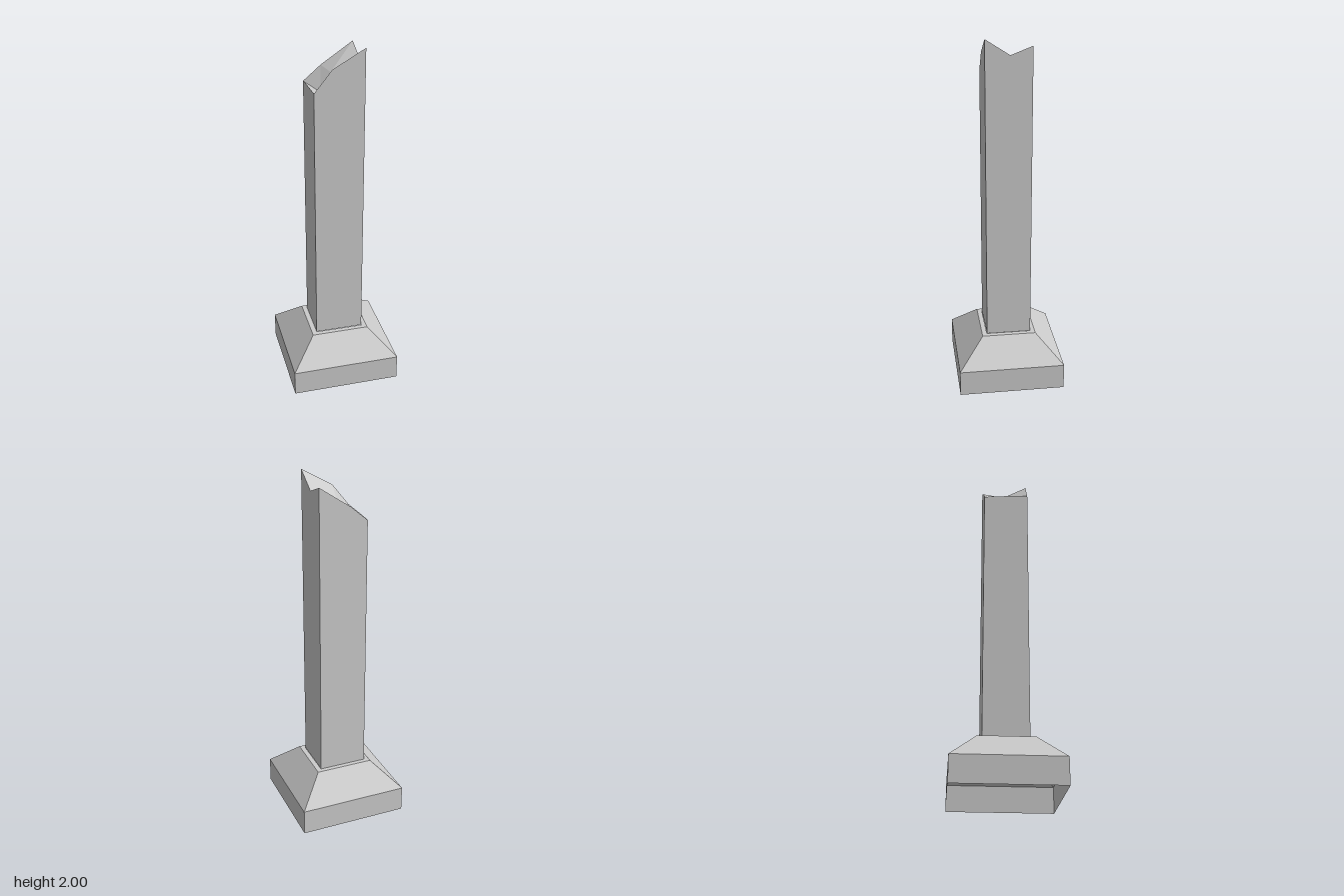
import * as THREE from 'three';

const material = new THREE.MeshStandardMaterial({
  color: 0xcccccc, flatShading: true, side: THREE.DoubleSide,
});

// Mesh from a list of polygons, each a list of corners fanned into triangles
function polygonMesh(name, polygons) {
  const pos = [];
  for (const p of polygons) {
    for (let i = 1; i < p.length - 1; i++) pos.push(...p[0], ...p[i], ...p[i + 1]);
  }
  const geometry = new THREE.BufferGeometry();
  geometry.setAttribute('position', new THREE.Float32BufferAttribute(pos, 3));
  geometry.computeVertexNormals();
  const mesh = new THREE.Mesh(geometry, material);
  mesh.name = name;
  return mesh;
}

// Hollow plinth: rectangular rings joined into walls, open underneath
function createBase() {
  const rings = [ // half width, height, half depth
    [0.31, 0, 0.3], [0.31, 0.147, 0.3], [0.165, 0.29, 0.154], [0.137, 0.29, 0.127],
  ];
  const corners = [[1, 1], [1, -1], [-1, -1], [-1, 1]];
  const at = ([w, y, d], k) => [w * corners[k % 4][0], y, d * corners[k % 4][1]];
  const faces = [];
  for (let i = 0; i < rings.length - 1; i++) {
    for (let k = 0; k < 4; k++) {
      faces.push([at(rings[i], k), at(rings[i], k + 1), at(rings[i + 1], k + 1), at(rings[i + 1], k)]);
    }
  }
  return polygonMesh('base', faces);
}

// Square shaft with a broken, notched top, open underneath
function createShaft() {
  const rim = [
    [0.136, 2, 0.125], [-0.04, 1.9, 0.125], [-0.137, 1.78, 0.125], [-0.137, 1.767, -0.07],
    [-0.137, 1.76, -0.128], [-0.04, 1.842, -0.128], [0.136, 1.96, -0.128], [0.136, 1.914, -0.008],
  ];
  const [a, b, c, d, e, f, g, h] = rim;
  const v1 = [-0.015, 1.84, -0.008], v2 = [-0.085, 1.76, 0.06]; // valley of the notch
  const foot = ([x, , z]) => [x, 0.29, z];
  const walls = rim.map((p, i) => {
    const q = rim[(i + 1) % rim.length];
    return [foot(q), foot(p), p, q];
  });
  const brokenTop = [
    [h, v1, b, a], [v1, v2, c, b], // front slope
    [v2, d, c], // chipped corner
    [v1, h, g, f], [v2, v1, f], [v2, f, e], [v2, e, d], // back slope
  ];
  return polygonMesh('brokenShaft', [...walls, ...brokenTop]);
}

export function createModel() {
  const group = new THREE.Group();
  group.name = 'brokenPillar';
  group.add(createBase(), createShaft());
  return group;
}
